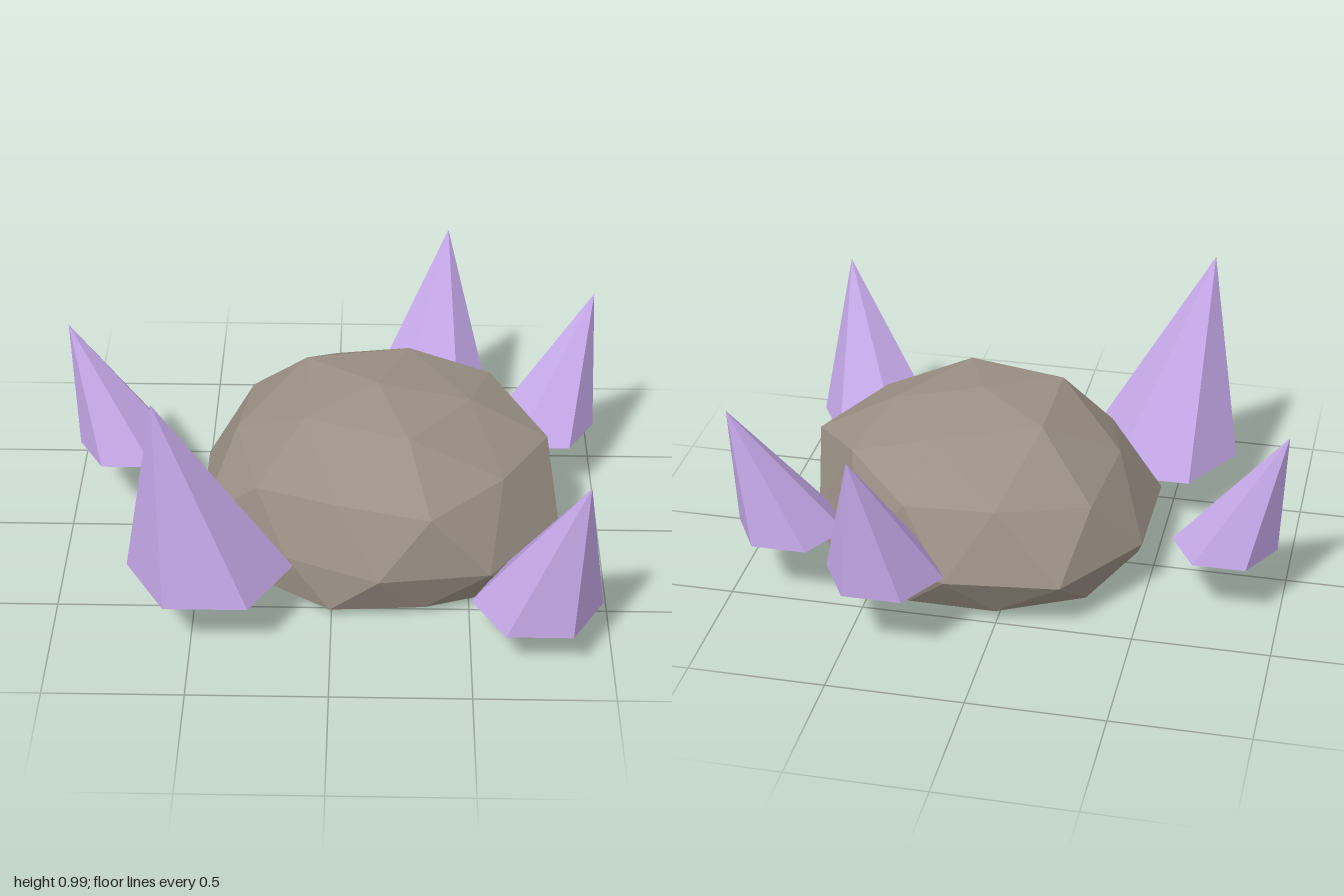
import * as THREE from 'three';

const rockMaterial = new THREE.MeshStandardMaterial({ color: 0x9b9085, flatShading: true });
const crystalMaterial = new THREE.MeshStandardMaterial({ color: 0xc6a9ea, flatShading: true });

// Mesh from a list of triangles, each made of three Vector3 corners
function facetedMesh(triangles, material, name) {
  const geometry = new THREE.BufferGeometry().setFromPoints(triangles.flat());
  geometry.computeVertexNormals();
  const mesh = new THREE.Mesh(geometry, material);
  mesh.name = name;
  return mesh;
}

// Ring of points around (cx, cz); radii and heights are listed per point
function ring(cx, cz, startDegrees, radii, heights) {
  return radii.map((r, i) => {
    const a = THREE.MathUtils.degToRad(startDegrees + (360 / radii.length) * i);
    return new THREE.Vector3(cx + r * Math.cos(a), heights[i % heights.length], cz + r * Math.sin(a));
  });
}

// Boulder: an uneven, flat-bottomed geodesic lump built from stacked rings
function createBoulder() {
  const cx = 0.17, cz = 0.02;
  const top = new THREE.Vector3(0.16, 0.675, 0.03);
  const base = new THREE.Vector3(0.16, 0, 0.03);
  const crown = ring(cx, cz, 0, [0.33, 0.33, 0.34, 0.34, 0.34], [0.6, 0.63, 0.645, 0.65, 0.62]);
  const shoulder = ring(cx, cz, 0,
    [0.62, 0.55, 0.587, 0.48, 0.55, 0.53, 0.6, 0.55, 0.54, 0.51],
    [0.44, 0.47, 0.45, 0.44, 0.42, 0.47, 0.43, 0.47, 0.45, 0.53]);
  const waist = ring(cx, cz, 18,
    [0.694, 0.68, 0.605, 0.57, 0.69, 0.686, 0.705, 0.62, 0.597, 0.61], [0.21]);
  const skirt = ring(cx, cz, 0,
    [0.55, 0.67, 0.54, 0.57, 0.58, 0.605, 0.58, 0.53, 0.52, 0.6], [0.035, 0.04]);
  const foot = ring(cx, cz, 36, [0.36, 0.34, 0.35, 0.35, 0.35], [0.01]);

  const tris = [];
  for (let k = 0; k < 5; k++) {
    const n = (k + 1) % 5, a = 2 * k, b = a + 1, c = (a + 2) % 10, d = (a + 3) % 10, before = (a + 9) % 10;
    // Cap
    tris.push([top, crown[n], crown[k]], [crown[k], crown[n], shoulder[b]],
      [crown[k], shoulder[b], shoulder[a]], [crown[k], shoulder[a], shoulder[before]]);
    // Underside
    tris.push([base, foot[k], foot[n]], [foot[n], foot[k], skirt[c]],
      [foot[k], skirt[b], skirt[c]], [foot[n], skirt[c], skirt[d]]);
  }
  for (let j = 0; j < 10; j++) {
    const n = (j + 1) % 10;
    // Upper and lower side bands
    tris.push([shoulder[j], shoulder[n], waist[j]], [shoulder[n], waist[n], waist[j]]);
    tris.push([skirt[n], skirt[j], waist[j]], [skirt[n], waist[j], waist[n]]);
  }
  return facetedMesh(tris, rockMaterial, 'boulder');
}

// Crystal: hexagonal girdle, tall leaning tip and a blunt lower point
function createCrystal({ name, center: [x, z], radius, girdle, bottom, tip }) {
  const hex = ring(x, z, 0, Array(6).fill(radius), [girdle]);
  const apex = new THREE.Vector3(...tip);
  const low = new THREE.Vector3(x, bottom, z);
  const tris = hex.flatMap((p, i) => {
    const q = hex[(i + 1) % 6];
    return [[apex, q, p], [low, p, q]];
  });
  return facetedMesh(tris, crystalMaterial, name);
}

const crystals = [
  { name: 'frontRightCrystal', center: [-0.437, 0.53], radius: 0.298, girdle: 0.21, bottom: 0.06, tip: [-0.605, 0.985, 0.67] },
  { name: 'frontLeftCrystal', center: [0.733, 0.655], radius: 0.234, girdle: 0.16, bottom: 0.045, tip: [0.88, 0.765, 0.815] },
  { name: 'rightCrystal', center: [-0.785, -0.19], radius: 0.192, girdle: 0.25, bottom: 0.155, tip: [-1, 0.745, -0.24] },
  { name: 'leftCrystal', center: [0.795, -0.372], radius: 0.202, girdle: 0.24, bottom: 0.14, tip: [0.98, 0.76, -0.485] },
  { name: 'backCrystal', center: [0.368, -0.652], radius: 0.214, girdle: 0.27, bottom: 0.165, tip: [0.43, 0.825, -0.86] },
];

export function createModel() {
  const group = new THREE.Group();
  group.name = 'crystalBoulder';
  group.add(createBoulder(), ...crystals.map(createCrystal));
  return group;
}
